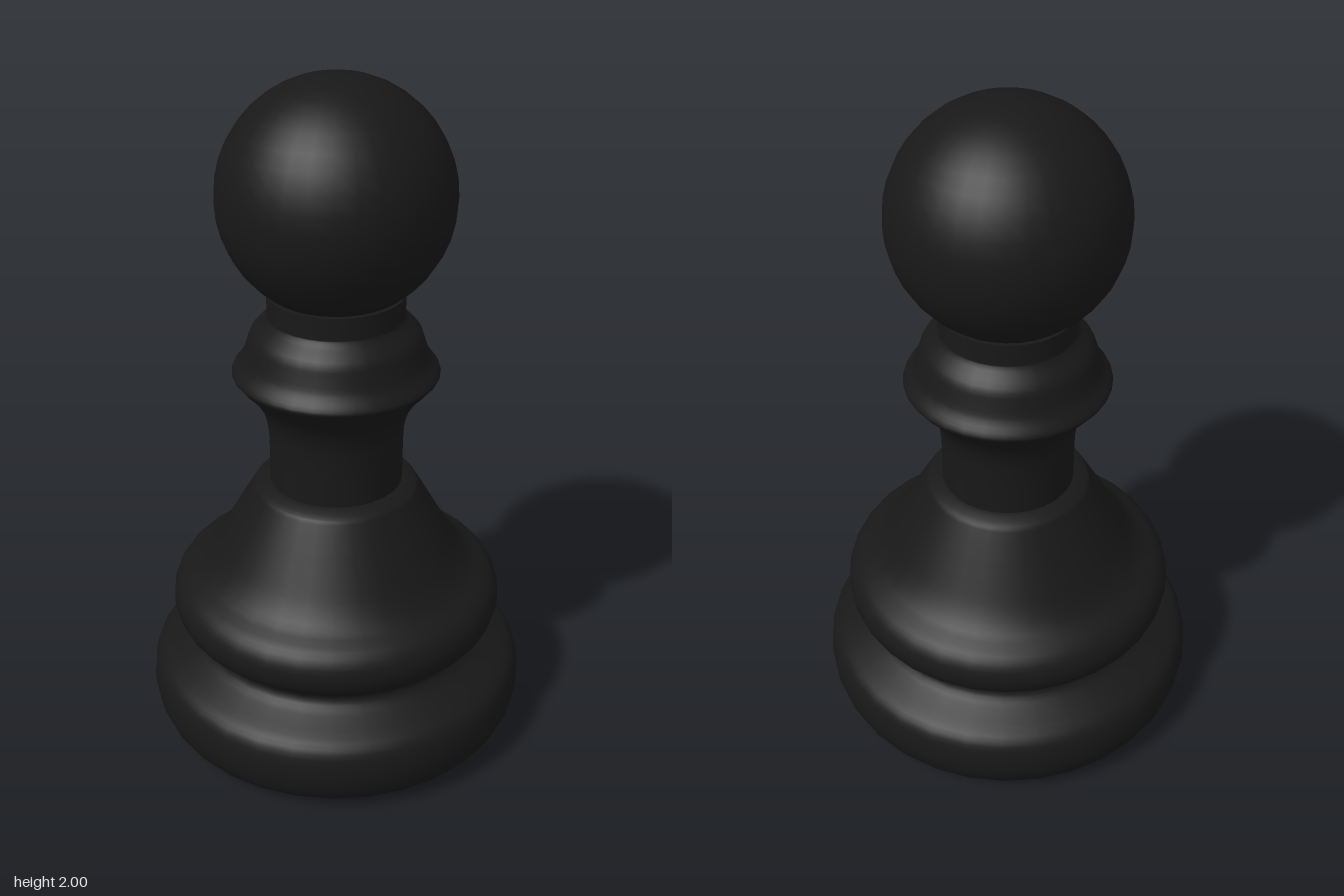
import * as THREE from 'three';

const SIDES = 32;
const material = new THREE.MeshStandardMaterial({ color: 0x181818 });

// Smooth run of [radius, height] points, sampled along a spline
const smooth = (pairs, steps) =>
  new THREE.SplineCurve(pairs.map(([r, y]) => new THREE.Vector2(r, y))).getPoints(steps);

function turned(name, points) {
  const mesh = new THREE.Mesh(new THREE.LatheGeometry(points, SIDES), material);
  mesh.name = name;
  return mesh;
}

export function createModel() {
  const pawn = new THREE.Group();
  pawn.name = 'pawn';

  // Foot, waist groove, upper ring and sloping skirt, with a small dimple underneath
  pawn.add(turned('base', [
    new THREE.Vector2(0, 0.012),
    new THREE.Vector2(0.035, 0.01),
    new THREE.Vector2(0.045, 0.002),
    new THREE.Vector2(0.2, 0),
    ...smooth([
      [0.35, 0.006], [0.48, 0.018], [0.535, 0.04], [0.56, 0.085], [0.57, 0.14],
      [0.563, 0.2], [0.54, 0.236], [0.49, 0.265], [0.445, 0.292], [0.43, 0.32],
      [0.45, 0.347], [0.482, 0.375], [0.496, 0.42], [0.488, 0.465], [0.46, 0.5],
      [0.41, 0.53], [0.37, 0.575], [0.33, 0.64], [0.255, 0.77], [0.235, 0.797],
      [0.195, 0.812],
    ], 56),
    new THREE.Vector2(0.17, 0.815),
  ]));

  // Neck flaring into the collar
  pawn.add(turned('neck', [
    new THREE.Vector2(0.195, 0.79),
    ...smooth([
      [0.195, 0.9], [0.198, 0.98], [0.212, 1.04], [0.245, 1.095], [0.29, 1.145],
      [0.296, 1.165], [0.27, 1.2], [0.255, 1.24], [0.24, 1.28], [0.205, 1.315],
      [0.195, 1.33],
    ], 32),
    new THREE.Vector2(0.195, 1.395),
  ]));

  // Flat lip that closes the top of the neck
  pawn.add(turned('neckLip', [new THREE.Vector2(0.195, 1.395), new THREE.Vector2(0.15, 1.396)]));

  // Ball
  const head = new THREE.Mesh(new THREE.SphereGeometry(0.33, SIDES, 20), material);
  head.name = 'head';
  head.position.y = 1.67;
  pawn.add(head);

  return pawn;
}
